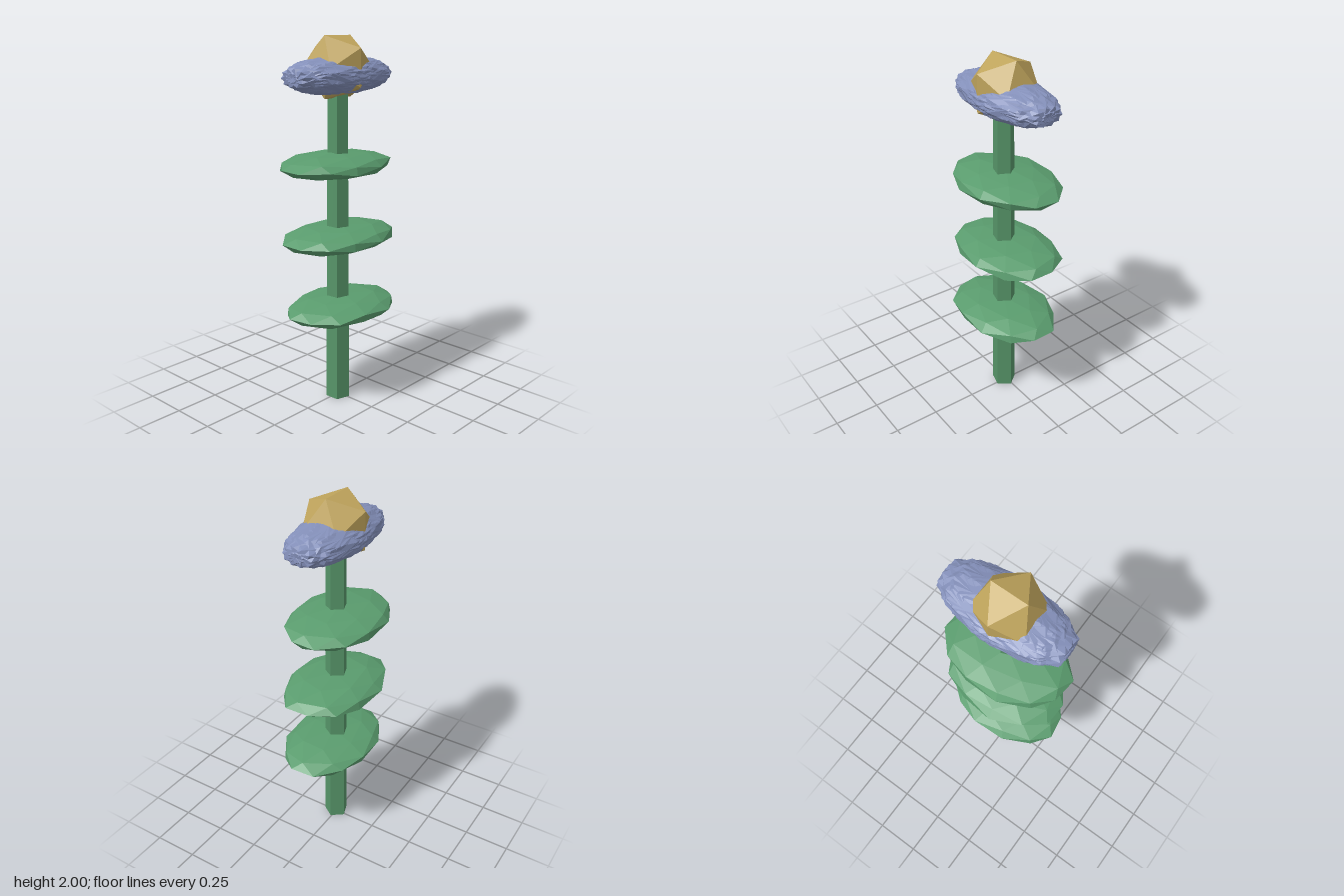
import * as THREE from 'three';

const paint = (color) => new THREE.MeshStandardMaterial({ color, flatShading: true });

function add(parent, name, geometry, material, x = 0, y = 0, z = 0) {
  const mesh = new THREE.Mesh(geometry, material);
  mesh.name = name;
  mesh.position.set(x, y, z);
  parent.add(mesh);
  return mesh;
}

// Faceted ball whose corners move in or out by a repeatable amount
function roughBall(amount, seed) {
  const geometry = new THREE.IcosahedronGeometry(1, 1);
  const p = geometry.attributes.position;
  const v = new THREE.Vector3();
  for (let i = 0; i < p.count; i++) {
    v.fromBufferAttribute(p, i);
    const key = Math.round(v.x * 50) * 12.99 + Math.round(v.y * 50) * 78.23 + Math.round(v.z * 50) * 37.72;
    v.multiplyScalar(1 + amount * Math.sin(key + seed));
    p.setXYZ(i, v.x, v.y, v.z);
  }
  geometry.computeVertexNormals();
  return geometry;
}

export function createModel() {
  const model = new THREE.Group();
  model.name = 'flower';
  const stemGreen = paint(0x569468);
  const leafGreen = paint(0x5a9c6e);
  const violet = paint(0x8490ba);
  const gold = paint(0xbfa45c);

  // Five-sided tapering stem
  const stem = new THREE.CylinderGeometry(0.055, 0.0685, 1.74, 5, 1, false, THREE.MathUtils.degToRad(20));
  add(model, 'stem', stem, stemGreen, -0.012, 0.87, 0.008);

  // Three flat leaf discs: [x, y, z, turn]
  const leaves = [
    [0.003, 0.543, 0.018, 0.1],
    [0.006, 0.938, 0.003, -0.06],
    [-0.012, 1.335, -0.008, 0.04],
  ];
  leaves.forEach(([x, y, z, turn], i) => {
    const ball = roughBall(0.03, i * 2.1).rotateY(turn + 0.25).scale(0.355, 0.069, 0.25);
    add(model, 'leaf' + (i + 1), ball, leafGreen, x, y, z);
  });

  // Spiky petal ring: rough balls turned about the long axis, then flattened
  const petals = new THREE.Group();
  petals.name = 'petals';
  petals.position.set(0, 1.8, 0.003);
  model.add(petals);
  const count = 10;
  for (let i = 0; i < count; i++) {
    const petal = roughBall(0.035, 1.3)
      .rotateY(0.2)
      .rotateZ(0.33)
      .rotateX((i / count) * Math.PI * 2)
      .scale(0.365, 0.1, 0.17);
    add(petals, 'petal' + (i + 1), petal, violet);
  }

  // Faceted flower centre
  add(model, 'flowerCentre', new THREE.IcosahedronGeometry(0.186, 0), gold, -0.012, 1.842, 0.005);

  return model;
}
